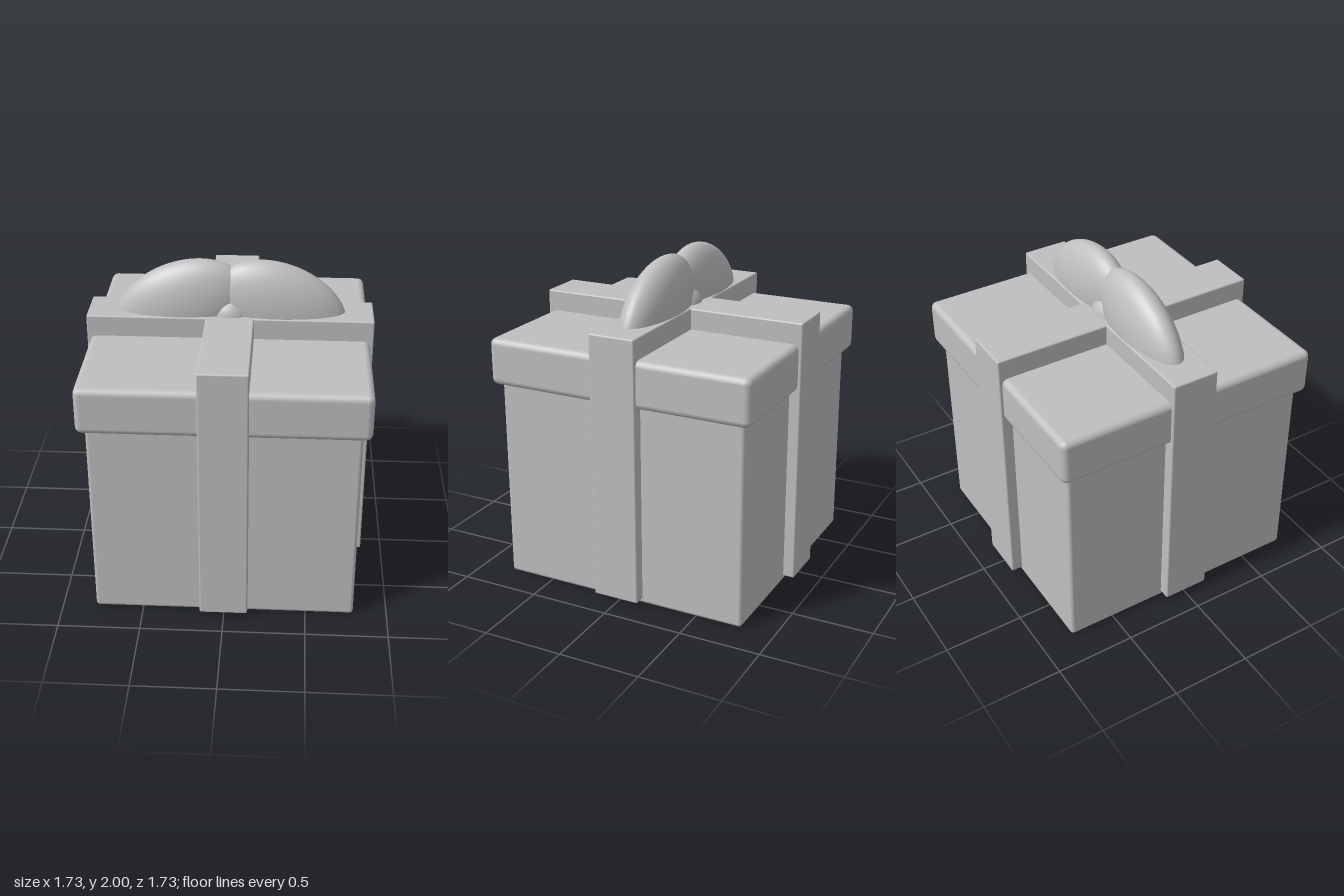
import * as THREE from 'three';
import { RoundedBoxGeometry } from 'three/addons/geometries/RoundedBoxGeometry.js';

export function createModel() {
  const grey = new THREE.MeshStandardMaterial({ color: 0xbfbfbf });
  grey.name = 'light grey';

  const model = new THREE.Group();
  model.name = 'giftBox';

  function add(name, geometry, x = 0, y = 0, z = 0) {
    const mesh = new THREE.Mesh(geometry, grey);
    mesh.name = name;
    mesh.position.set(x, y, z);
    model.add(mesh);
    return mesh;
  }

  // Softly bevelled block between two heights
  function block(name, width, depth, bottom, top, bevel) {
    const geometry = new RoundedBoxGeometry(width, top - bottom, depth, 2, bevel);
    return add(name, geometry, 0, (bottom + top) / 2, 0);
  }

  // Box and overhanging lid
  block('boxBody', 1.59, 1.59, 0, 1.4, 0.022);
  block('lid', 1.69, 1.69, 1.26, 1.55, 0.04);

  // Two crossing ribbons, raised above the lid and stopping short of the base
  block('ribbonFrontToBack', 0.292, 1.73, 0.03, 1.68, 0.01);
  block('ribbonSideToSide', 1.73, 0.292, 0.03, 1.68, 0.01);

  // Bow: two flattened loops drooping outwards
  for (const side of [-1, 1]) {
    const loop = add(side > 0 ? 'bowLoopLeft' : 'bowLoopRight',
      new THREE.SphereGeometry(1, 48, 32), side * 0.3, 1.69, 0);
    loop.scale.set(0.427, 0.283, 0.14);
    loop.rotation.z = -side * THREE.MathUtils.degToRad(23.3);
  }

  // Knot between the loops
  add('bowKnot', new THREE.SphereGeometry(0.14, 32, 20), 0, 1.656, 0);

  return model;
}
